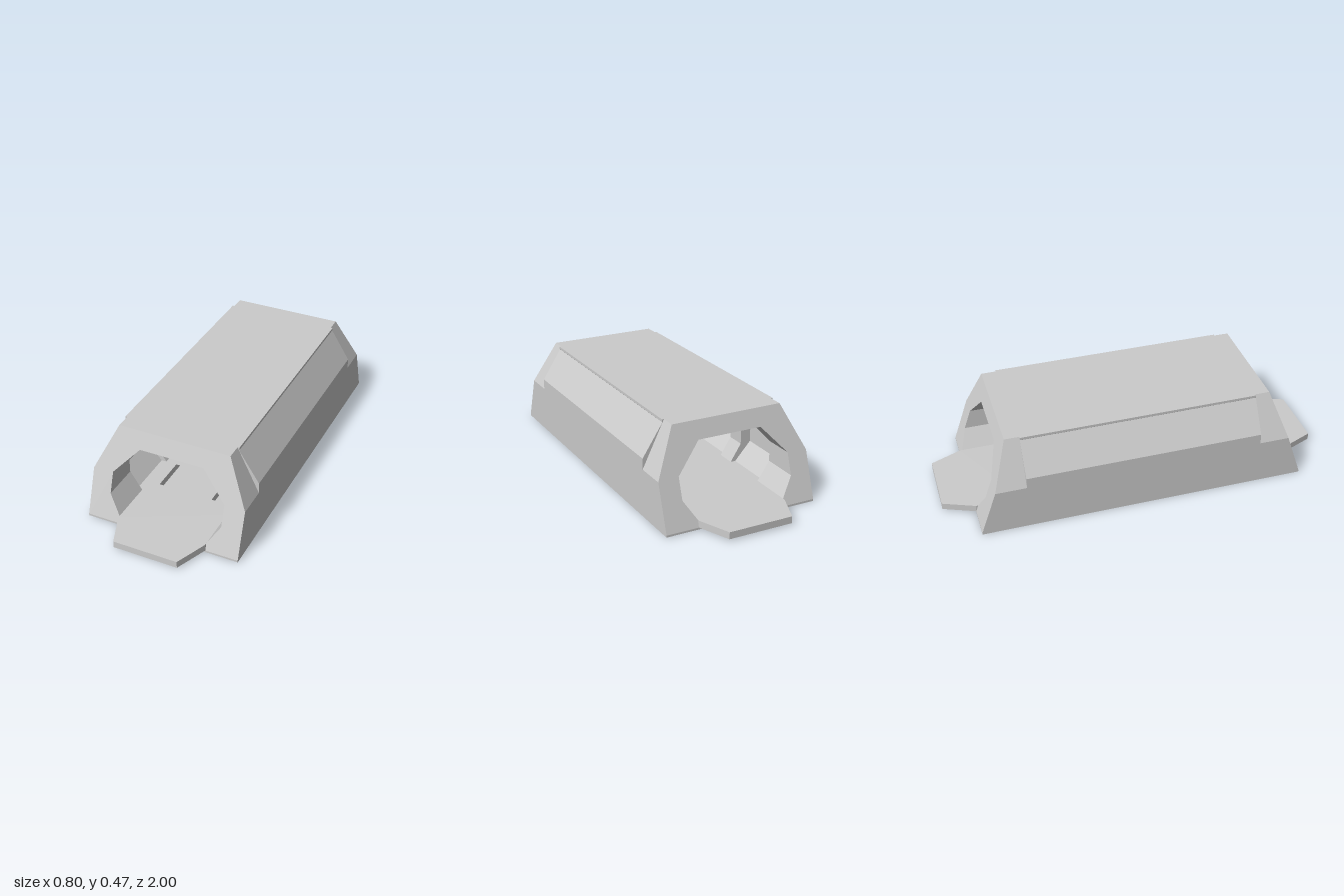
import * as THREE from 'three';

const material = new THREE.MeshStandardMaterial({ color: 0xcccccc, flatShading: true });

// Closed outline from its +x half, mirrored to -x
const mirrored = (half) => [...half, ...half.map(([x, y]) => [-x, y]).reverse()]
  .map(([x, y]) => new THREE.Vector2(x, y));

const rect = (cx, cy, w, h) => [
  [cx - w / 2, cy - h / 2], [cx + w / 2, cy - h / 2], [cx + w / 2, cy + h / 2], [cx - w / 2, cy + h / 2],
].map(([x, y]) => new THREE.Vector2(x, y));

function extrude(outline, holes, depth) {
  const shape = new THREE.Shape(outline);
  holes.forEach((h) => shape.holes.push(new THREE.Path(h)));
  return new THREE.ExtrudeGeometry(shape, { depth, bevelEnabled: false });
}

// Horizontal plate drawn in x/z, with its top at the given height
function plate(outline, holes, top, depth) {
  return extrude(outline, holes, depth).rotateX(Math.PI / 2).translate(0, top, 0);
}

export function createModel() {
  const group = new THREE.Group();
  const add = (name, geometry) => {
    const mesh = new THREE.Mesh(geometry, material);
    mesh.name = name;
    group.add(mesh);
    return mesh;
  };
  const MID = 0.605; // half length of the straight middle section
  const FLOOR = 0.045;
  const BASE = 0.01;

  // Thin underside with four shallow recesses
  add('basePlate', plate(rect(0, 0, 0.8, 1.68), [
    rect(0, 0.155, 0.22, 0.08), rect(0, -0.155, 0.22, 0.08),
    rect(0.145, -0.475, 0.06, 0.08), rect(-0.145, -0.475, 0.06, 0.08),
  ], BASE, BASE));

  // Floor with two slots and a tapered tongue at each end
  const floorFront = [[0.167, 1], [0.233, 0.84], [0.233, MID], [0.26, MID]];
  const floorHalf = [...floorFront, ...floorFront.map(([x, z]) => [x, -z]).reverse()];
  add('floorWithTongues', plate(mirrored(floorHalf),
    [-1, 1].map((s) => rect(s * 0.145, 0.315, 0.06, 0.43)), FLOOR, FLOOR - BASE));

  // Middle shell: sloped side panels under a small roof lip, wider room inside
  const shellOuter = [[0.4, BASE], [0.4, 0.295], [0.298, 0.455], [0.3, 0.457], [0.3, 0.47]];
  const room = [[0.26, BASE], [0.26, FLOOR], [0.345, 0.14], [0.345, 0.265], [0.23, 0.42]];
  add('middleShell', extrude(mirrored(shellOuter), [mirrored(room)], 2 * MID).translate(0, 0, -MID));

  // Inner ribs
  const ribOpening = [[0.233, FLOOR], [0.29, 0.135], [0.29, 0.25], [0.184, 0.365]];
  for (const z of [0.3, -0.3]) {
    add('innerRib', extrude(mirrored(room.slice(1)), [mirrored(ribOpening)], 0.1).translate(0, 0, z - 0.05));
  }

  // End frames with leaning outer faces
  const frameOuter = [[0.4, BASE], [0.4, 0.24], [0.29, 0.47]];
  const frameOpening = [[0.233, BASE], [0.233, FLOOR], [0.295, 0.14], [0.295, 0.245], [0.167, 0.383]];
  const frame = extrude(mirrored(frameOuter), [mirrored(frameOpening)], 1);
  const p = frame.attributes.position;
  for (let i = 0; i < p.count; i++) {
    p.setZ(i, p.getZ(i) < 0.5 ? MID : 0.84 - 0.348 * (p.getY(i) - BASE));
  }
  frame.computeVertexNormals();
  add('frontFrame', frame);
  add('backFrame', frame).rotation.y = Math.PI;

  return group;
}
